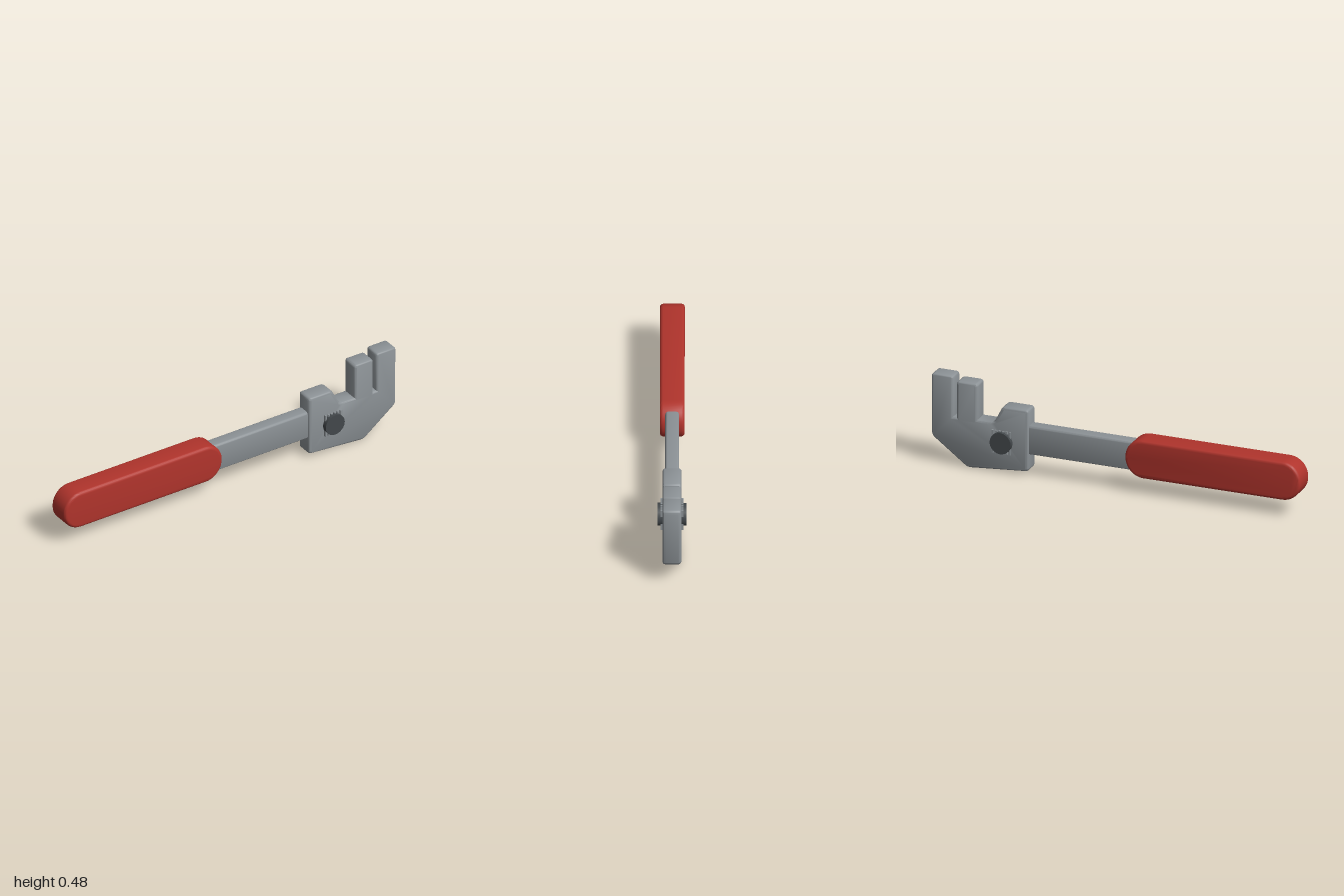
import * as THREE from 'three';
import { toCreasedNormals } from 'three/addons/utils/BufferGeometryUtils.js';

const material = (name, color) => {
  const m = new THREE.MeshStandardMaterial({ color });
  m.name = name;
  return m;
};

// Closed outline; each corner is [x, y, radius].
function roundedOutline(corners) {
  const shape = new THREE.Shape();
  const n = corners.length;
  corners.forEach(([x, y, r = 0], i) => {
    const toward = ([px, py], d) => {
      const k = d / Math.hypot(px - x, py - y);
      return [x + (px - x) * k, y + (py - y) * k];
    };
    const prev = corners[(i + n - 1) % n], next = corners[(i + 1) % n];
    const start = toward(prev, r), end = toward(next, r);
    if (i === 0) shape.moveTo(...start);
    else shape.lineTo(...start);
    if (r > 0) shape.bezierCurveTo(...toward(prev, r * 0.45), ...toward(next, r * 0.45), ...end);
  });
  shape.closePath();
  return shape;
}

// Plate centred on z = 0 with softened front and back rims.
function plate(name, corners, halfDepth, bevel, mat, segments) {
  const geometry = new THREE.ExtrudeGeometry(roundedOutline(corners), {
    depth: 2 * (halfDepth - bevel), bevelEnabled: true, bevelThickness: bevel,
    bevelSize: bevel, bevelOffset: -bevel, bevelSegments: 4, curveSegments: segments,
  });
  geometry.translate(0, 0, bevel - halfDepth);
  const mesh = new THREE.Mesh(toCreasedNormals(geometry, 0.6), mat);
  mesh.name = name;
  return mesh;
}

const box = (x0, x1, y0, y1, r) => [[x0, y0, r], [x1, y0, r], [x1, y1, r], [x0, y1, r]];

export function createModel() {
  const steel = material('steel grey', 0x8c9296);
  const red = material('grip red', 0xb0342c);
  const dark = material('dark steel', 0x43484b);
  const group = new THREE.Group();
  group.name = 'wrench';

  // Grip and shaft
  group.add(plate('grip', box(-1, -0.053, 0.09, 0.295, 0.098), 0.062, 0.016, red, 10));
  group.add(plate('shaft', box(-0.2, 0.52, 0.115, 0.27, 0.016), 0.035, 0.013, steel, 4));

  // Head with shoulder, movable jaw, slot and fixed jaw
  const r = 0.015;
  group.add(plate('head', [
    [0.475, 0.027, r], [0.805, 0, r], [0.998, 0.145, r], [1, 0.478, r],
    [0.881, 0.478, r], [0.881, 0.262], [0.864, 0.262], [0.864, 0.455, r],
    [0.75, 0.455, r], [0.75, 0.264], [0.662, 0.264, r], [0.616, 0.355, r],
    [0.475, 0.355, r],
  ], 0.047, 0.014, steel, 4));

  // Adjusting knob through the head
  const knob = new THREE.Mesh(new THREE.CylinderGeometry(0.057, 0.057, 0.144, 24), dark);
  knob.name = 'adjustingKnob';
  knob.rotation.x = Math.PI / 2;
  knob.position.set(0.616, 0.167, 0);
  group.add(knob);

  // Knurl ribs standing proud on both faces
  const ribGeometry = new THREE.BoxGeometry(0.01, 0.123, 0.114);
  for (let i = 0; i < 6; i++) {
    const rib = new THREE.Mesh(ribGeometry, steel);
    rib.name = 'knurlRib';
    rib.position.set(0.571 + i * 0.0185, 0.167, 0);
    group.add(rib);
  }
  return group;
}
